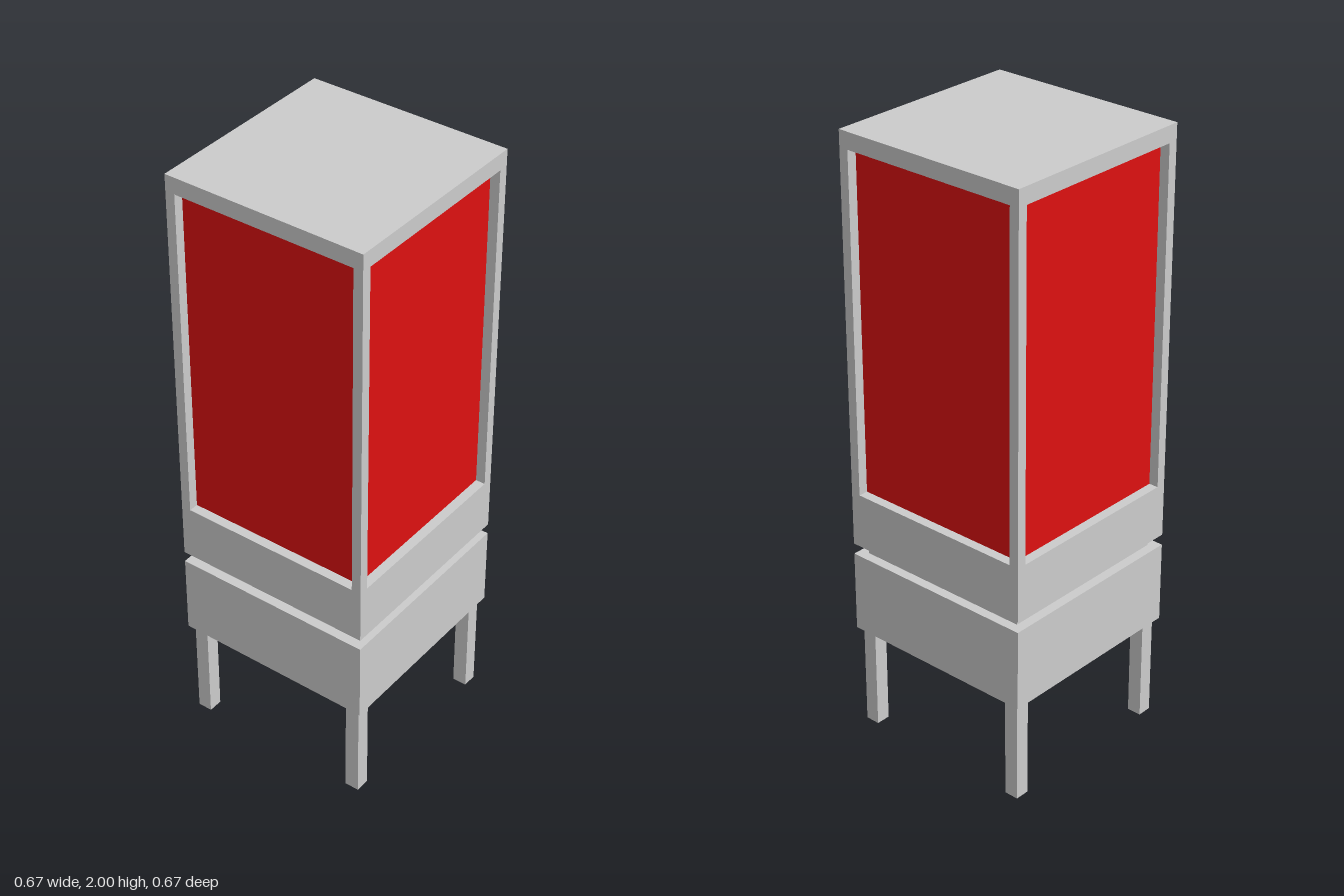
import * as THREE from 'three';

export function createModel() {
  const model = new THREE.Group();
  const grey = new THREE.MeshStandardMaterial({ color: 0xcccccc });
  const red = new THREE.MeshStandardMaterial({ color: 0xdd1111 });

  const HALF = 0.337;   // outer half width
  const INNER = 0.305;  // half width of the recessed core

  // Square block centred on (x, z), spanning y0 to y1
  function block(name, half, y0, y1, material = grey, x = 0, z = 0) {
    const mesh = new THREE.Mesh(new THREE.BoxGeometry(2 * half, y1 - y0, 2 * half), material);
    mesh.name = name;
    mesh.position.set(x, (y0 + y1) / 2, z);
    model.add(mesh);
  }

  // Lower cabinet and the recessed neck above it
  block('lowerCabinet', HALF, 0.345, 0.614);
  block('neck', INNER, 0.614, 0.65);

  // Upper cabinet: base, coloured core behind the openings, top
  block('upperBase', HALF, 0.65, 0.832);
  block('redPanels', INNER, 0.832, 1.946, red);
  block('topSlab', HALF, 1.946, 2);

  // Corner posts and legs
  const post = (HALF - INNER) / 2;
  for (const sx of [-1, 1]) {
    for (const sz of [-1, 1]) {
      const p = INNER + post;
      block('cornerPost', post, 0.832, 1.946, grey, sx * p, sz * p);
      block('leg', 0.024, 0, 0.345, grey, sx * 0.297, sz * 0.297);
    }
  }
  return model;
}
